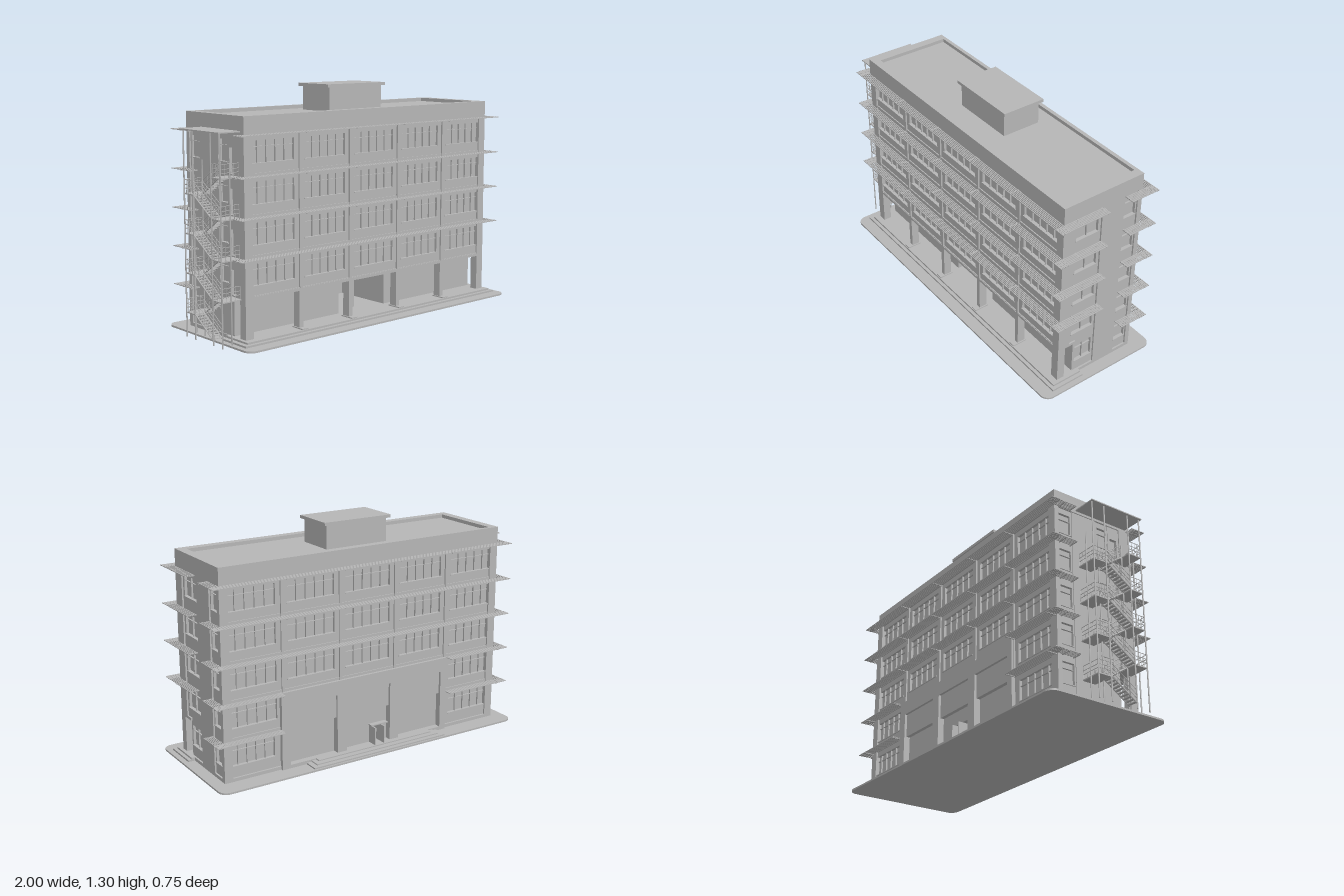
import * as THREE from 'three';

const concrete = new THREE.MeshStandardMaterial({ color: 0xb6b6b6 });
concrete.name = 'concrete grey';

function mesh(name, geo, parent) {
  const m = new THREE.Mesh(geo, concrete);
  m.name = name;
  parent.add(m);
  return m;
}
function box(parent, name, x0, x1, y0, y1, z0, z1) {
  const m = mesh(name, new THREE.BoxGeometry(x1 - x0, y1 - y0, z1 - z0), parent);
  m.position.set((x0 + x1) / 2, (y0 + y1) / 2, (z0 + z1) / 2);
  return m;
}
function rod(parent, name, a, b, r = 0.0025) {
  const p = new THREE.Vector3(...a), q = new THREE.Vector3(...b), d = q.clone().sub(p);
  const m = mesh(name, new THREE.CylinderGeometry(r, r, d.length(), 6), parent);
  m.position.copy(p).add(q).multiplyScalar(0.5);
  m.quaternion.setFromUnitVectors(new THREE.Vector3(0, 1, 0), d.normalize());
}
function rect(T, x0, x1, y0, y1) {
  return new T([[x0, y0], [x1, y0], [x1, y1], [x0, y1]].map(p => new THREE.Vector2(...p)));
}
// Upright slab with rectangular openings, extruded outwards from z
function pierced(parent, name, r, holes, z, depth) {
  const s = rect(THREE.Shape, ...r);
  holes.forEach(h => s.holes.push(rect(THREE.Path, ...h)));
  const m = mesh(name, new THREE.ExtrudeGeometry(s, { depth, bevelEnabled: false }), parent);
  m.position.z = z;
  return m;
}
// Side of the building: local x runs along the wall, local z points outwards, z = 0 is the wall face
function side(root, name, x, z, turn) {
  const g = new THREE.Group();
  g.name = name;
  g.position.set(x, 0, z);
  g.rotation.y = turn;
  root.add(g);
  return g;
}
// One storey of one bay: wall with a window, frames and a sill
function windowBay(g, u0, u1, y0, y1) {
  const w = u1 - u0, m = w * 0.1, a = u0 + m, b = u1 - m, lo = y0 + 0.065, hi = y1 - 0.03;
  pierced(g, 'windowWall', [u0, u1, y0, y1], [[a, b, lo, hi]], -0.024, 0.015);
  box(g, 'windowSill', a - 0.005, b + 0.005, lo - 0.005, lo, -0.012, -0.004);
  const n = Math.max(1, Math.round((b - a) / 0.06));
  for (let i = 1; i < n; i++) {
    const u = a + (b - a) * i / n;
    box(g, 'mullion', u - 0.002, u + 0.002, lo, hi, -0.024, -0.014);
  }
  box(g, 'transom', a, b, hi - 0.034, hi - 0.031, -0.024, -0.015);
}
// Sunshade of parallel slats on brackets
function sunshade(g, u0, u1, y, brackets) {
  for (let i = 0; i < 6; i++) {
    const z = 0.005 + i * 0.0095;
    box(g, 'sunshadeSlat', u0, u1, y - 0.002, y + 0.002, z, z + 0.0055);
  }
  brackets.forEach(u => box(g, 'sunshadeBracket', u - 0.003, u + 0.003, y - 0.005, y + 0.001, 0, 0.057));
}

export function createModel() {
  const root = new THREE.Group();
  root.name = 'officeBuilding';
  const floors = [0.24, 0.45, 0.66, 0.87], H = 0.21;
  const X0 = -0.865, X1 = 0.93, Z0 = -0.262, Z1 = 0.247;
  const fins = [-0.5, -0.15, 0.21, 0.57];
  const edges = [X0, ...fins, X1];

  // Paved base with rounded corners
  const r = 0.05, base = new THREE.Shape();
  [[0.95, 0.32, 0], [-0.89, 0.32, 1], [-0.89, -0.325, 2], [0.95, -0.325, 3]].forEach(([x, y, k]) =>
    base.absarc(x, y, r, k * Math.PI / 2, (k + 1) * Math.PI / 2, false));
  const slab = mesh('basePaving', new THREE.ExtrudeGeometry(base, { depth: 0.01, bevelEnabled: false, curveSegments: 6 }), root);
  slab.rotation.x = -Math.PI / 2;
  box(root, 'frontStep', -0.91, 0.97, 0.01, 0.02, 0.1, 0.305);
  box(root, 'frontPlinth', -0.885, 0.95, 0.01, 0.03, 0.1, 0.285);
  box(root, 'groundFloor', X0, X1, 0.01, 0.029, Z0, 0.15);

  // Core volume with an open arcade and lobby on the ground floor
  box(root, 'upperCore', -0.841, 0.906, 0.24, 1.1, -0.238, 0.223);
  box(root, 'groundCoreWest', -0.841, -0.145, 0.01, 0.24, -0.238, 0.14);
  box(root, 'groundCoreEast', 0.2, 0.906, 0.01, 0.24, -0.238, 0.14);
  box(root, 'lobbyBackWall', -0.145, -0.055, 0.01, 0.24, -0.238, -0.22);
  box(root, 'lobbyBackWall', 0, 0.2, 0.01, 0.24, -0.238, -0.22);
  box(root, 'lobbyDoorHead', -0.055, 0, 0.14, 0.24, -0.238, -0.22);
  box(root, 'lobbyPost', 0.01, 0.022, 0.03, 0.24, 0.07, 0.082);
  box(root, 'arcadeSoffit', X0, X1, 0.235, 0.25, 0.13, Z1);

  // Parapet, roof and rooftop room
  const par = pierced(root, 'parapet', [X0, X1, -Z1, -Z0], [[-0.815, 0.88, -0.2, 0.24]], 0, 0.095);
  par.rotation.x = -Math.PI / 2;
  par.position.y = 1.08;
  box(root, 'roofDeck', -0.83, 0.9, 1.08, 1.155, -0.25, 0.22);
  box(root, 'rooftopRoom', -0.16, 0.225, 1.15, 1.29, -0.145, 0.083);
  box(root, 'rooftopCap', -0.18, 0.245, 1.288, 1.305, -0.16, 0.095);

  const front = side(root, 'frontSide', 0, Z1, 0);
  const back = side(root, 'backSide', 0, Z0, Math.PI);
  const right = side(root, 'leftEnd', X1, 0, Math.PI / 2);
  const left = side(root, 'rightEnd', X0, 0, -Math.PI / 2);

  // Long sides: bays, fins, slab bands and sunshades
  for (const [g, s] of [[front, 1], [back, -1]]) {
    floors.forEach((y, k) => {
      for (let i = 0; i < 5; i++) {
        const [a, b] = [s * edges[i], s * edges[i + 1]].sort((p, q) => p - q);
        windowBay(g, a, b, y, y + H);
      }
      const [a, b] = [s * X0, s * X1].sort((p, q) => p - q);
      box(g, 'slabBand', a, b, y, y + 0.014, -0.024, -0.003);
      sunshadeRow(g, s, y + H, k);
    });
    fins.forEach(x => box(g, 'fin', s * x - 0.0075, s * x + 0.0075, 0.24, 1.08, -0.024, 0));
  }
  function sunshadeRow(g, s, y, k) {
    if (s < 0 && k === 0) return;
    const [a, b] = [s * -0.925, s * 0.99].sort((p, q) => p - q);
    sunshade(g, a, b, y, fins.map(x => s * x));
  }
  // Corner piers
  for (const [x0, x1] of [[X0, X0 + 0.05], [X1 - 0.05, X1]]) {
    box(root, 'frontCornerPier', x0, x1, 0.03, 1.1, 0.2, Z1);
    box(root, 'backCornerPier', x0, x1, 0.01, 1.1, Z0, Z0 + 0.027);
  }
  // Arcade columns and low kerbs between them
  fins.forEach(x => {
    box(root, 'arcadeColumn', x - 0.013, x + 0.013, 0.03, 0.24, 0.2, Z1);
    box(root, 'columnFoot', x - 0.02, x + 0.02, 0.03, 0.036, 0.195, 0.28);
  });

  // Back flanks on the ground floor
  for (const [a, b] of [[-X1, -0.59], [0.505, -X0]]) {
    windowBay(back, a, b, 0.03, 0.24);
    const out = a < 0 ? [a - 0.06, b] : [a, b + 0.06];
    for (const y of [0.24, 0.45]) sunshade(back, ...out, y, [a + 0.01, b - 0.01]);
  }
  // Back entrance block with three tall recesses, open door leaves and steps
  pierced(back, 'entranceBlock', [-0.59, 0.505, 0.01, 0.45],
    [[-0.54, -0.24, 0.03, 0.37], [-0.18, 0.11, 0.03, 0.37], [0.17, 0.465, 0.03, 0.37]], -0.024, 0.037);
  // Recess backs sit in front of the upper bays
  for (const [a, b] of [[-0.54, -0.24], [-0.18, 0.11], [0.17, 0.465]])
    box(back, 'recessBack', a, b, 0.235, 0.37, -0.024, -0.0015);
  for (const x of [-0.06, 0.001]) box(root, 'doorLeaf', x, x + 0.006, 0.03, 0.132, -0.298, -0.238);
  box(root, 'doorCanopy', -0.1, 0.012, 0.134, 0.14, -0.27, -0.235);
  [[0.44, 0.36, 0.018], [0.41, 0.335, 0.024], [0.38, 0.305, 0.03]].forEach(([w, z, y]) =>
    box(root, 'backStep', -w, w, 0.01, y, -z, -0.25));

  // East end: window bays beside a plain stair wall
  box(right, 'stairWall', 0, 0.145, 0.01, 1.1, -0.026, 0);
  box(right, 'endPier', -0.247, -0.175, 0.24, 1.1, -0.026, 0);
  windowBay(right, -0.14, 0, 0.03, 0.24);
  windowBay(right, 0.145, 0.236, 0.03, 0.24);
  sunshade(right, 0.145, 0.32, 0.24, [0.15, 0.235]);
  // West end: window bays beside the escape doors
  box(left, 'endPier', 0.175, 0.247, 0.24, 1.1, -0.026, 0);
  box(left, 'escapeWall', -0.145, 0.02, 0.01, 1.1, -0.026, -0.005);
  box(left, 'groundWall', 0.02, 0.14, 0.01, 0.24, -0.026, -0.006);
  windowBay(left, -0.236, -0.145, 0.03, 0.24);
  sunshade(left, -0.32, -0.16, 0.24, [-0.235, -0.165]);
  for (const y of floors) {
    windowBay(right, -0.175, 0, y, y + H);
    windowBay(right, 0.145, 0.236, y, y + H);
    windowBay(left, -0.236, -0.145, y, y + H);
    windowBay(left, 0.02, 0.1, y, y + H);
    pierced(left, 'doorWall', [0.1, 0.175, y, y + H], [[0.115, 0.16, y + 0.005, y + 0.14]], -0.024, 0.018);
    sunshade(right, -0.3, 0, y + H, [-0.17, -0.01]);
    sunshade(right, 0.145, 0.32, y + H, [0.15, 0.235]);
    sunshade(left, -0.32, -0.16, y + H, [-0.235, -0.165]);
    sunshade(left, 0.22, 0.3, y + H, [0.24]);
  }

  // Escape stair: roof, posts, landings, flights and rails
  const esc = new THREE.Group();
  esc.name = 'escapeStair';
  root.add(esc);
  const xo = -0.985, xm = -0.927, xi = -0.872, zf = 0.21, zn = 0.13, zb = -0.11, zm = -0.03;
  box(esc, 'escapeRoof', -1, X0, 1.094, 1.1, -0.12, 0.22);
  for (const z of [zb, zm, zn, zf]) {
    rod(esc, 'outerPost', [xo, 0, z], [xo, 1.096, z], 0.004);
    rod(esc, 'middlePost', [xm, 0, z], [xm, 0.94, z], 0.004);
  }
  function rails(a, b) {
    for (const h of [0.025, 0.045, 0.07])
      rod(esc, 'rail', [a[0], a[1] + h, a[2]], [b[0], b[1] + h, b[2]], 0.0018);
    for (let i = 0; i <= 4; i++) {
      const p = a.map((v, k) => v + (b[k] - v) * i / 4);
      rod(esc, 'baluster', p, [p[0], p[1] + 0.07, p[2]], 0.0015);
    }
  }
  function flight(x0, x1, ya, za, yb, zb2) {
    for (let i = 0; i < 10; i++) {
      const t = (i + 0.5) / 10, y = ya + (yb - ya) * t, z = za + (zb2 - za) * t;
      box(esc, 'tread', x0, x1, y - 0.002, y + 0.002, z - 0.008, z + 0.008);
    }
    for (const x of [x0, x1]) {
      rod(esc, 'stringer', [x, ya, za], [x, yb, zb2], 0.004);
      rails([x, ya, za], [x, yb, zb2]);
    }
  }
  [0.03, ...floors].forEach((y, k) => {
    if (k > 0) {
      box(esc, 'floorLanding', xo, X0, y - 0.006, y, zn, zf);
      rails([xo, y, zf], [xi, y, zf]);
      rails([xo, y, zn], [xo, y, zf]);
    }
    if (k === 4) return;
    const top = floors[k], mid = (y + top) / 2;
    box(esc, 'halfLanding', xo, X0, mid - 0.006, mid, zb, zm);
    rails([xo, mid, zb], [xi, mid, zb]);
    rails([xo, mid, zb], [xo, mid, zm]);
    flight(xo, xm - 0.004, y, zn, mid, zm);
    flight(xm + 0.004, xi, mid, zm, top, zn);
  });

  return root;
}
